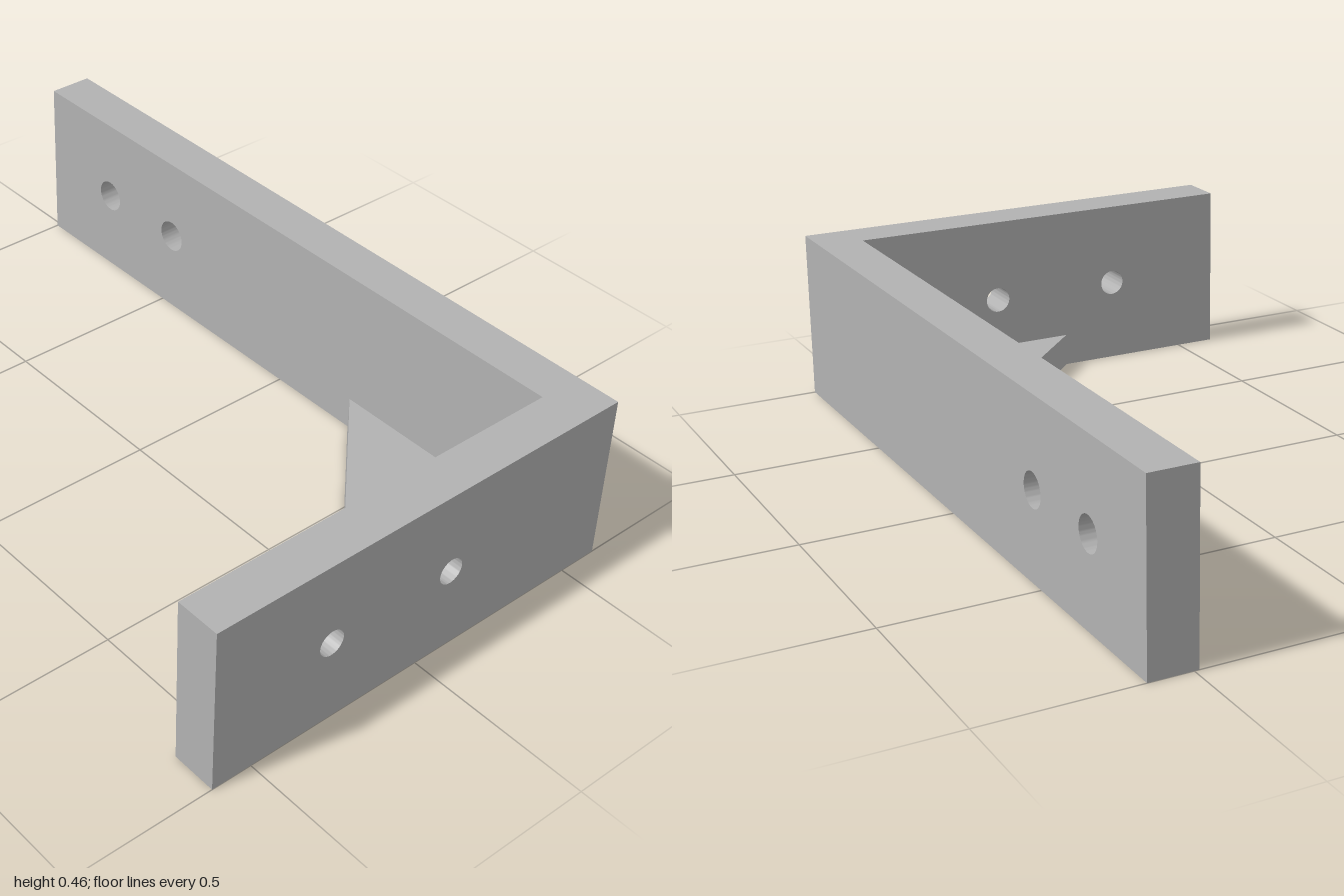
import * as THREE from 'three';
import { toCreasedNormals } from 'three/addons/utils/BufferGeometryUtils.js';

const HALF_WIDTH = 0.61, HEIGHT = 0.458, THICK = 0.122, GUSSET = 0.09;
const INNER_X = HALF_WIDTH - THICK, INNER_Z = 1 - THICK;

// Flat plate outline, extruded along +z, with round bolt holes at mid height
function plate(points, depth, holes = [], radius = 0) {
  const shape = new THREE.Shape(points.map(([x, y]) => new THREE.Vector2(x, y)));
  for (const u of holes) {
    shape.holes.push(new THREE.Path().absarc(u, HEIGHT / 2, radius, 0, Math.PI * 2, true));
  }
  const geometry = new THREE.ExtrudeGeometry(shape, { depth, bevelEnabled: false, curveSegments: 32 });
  return toCreasedNormals(geometry, 0.6);
}

const rectangle = (a, b) => [[a, 0], [b, 0], [b, HEIGHT], [a, HEIGHT]];

export function createModel() {
  const group = new THREE.Group();
  group.name = 'cornerBracket';
  const metal = new THREE.MeshStandardMaterial({ color: 0xb2b2b2 });
  metal.name = 'grey metal';

  const add = (name, geometry) => {
    const mesh = new THREE.Mesh(geometry, metal);
    mesh.name = name;
    group.add(mesh);
  };

  // Short front arm
  add('frontArm', plate(rectangle(-HALF_WIDTH, HALF_WIDTH), THICK, [-0.276, 0.09], 0.035)
    .translate(0, 0, INNER_Z));

  // Long arm running backwards on the left
  add('sideArm', plate(rectangle(-1, INNER_Z), THICK, [-0.464, -0.739], 0.044)
    .rotateY(-Math.PI / 2).translate(HALF_WIDTH, 0, 0));

  // Triangular web in the inner corner, flush with the bottom
  const leg = 0.612;
  add('cornerGusset', plate([[INNER_X, INNER_Z], [INNER_X - leg, INNER_Z], [INNER_X, INNER_Z - leg]], GUSSET)
    .rotateX(Math.PI / 2).translate(0, GUSSET, 0));

  return group;
}
